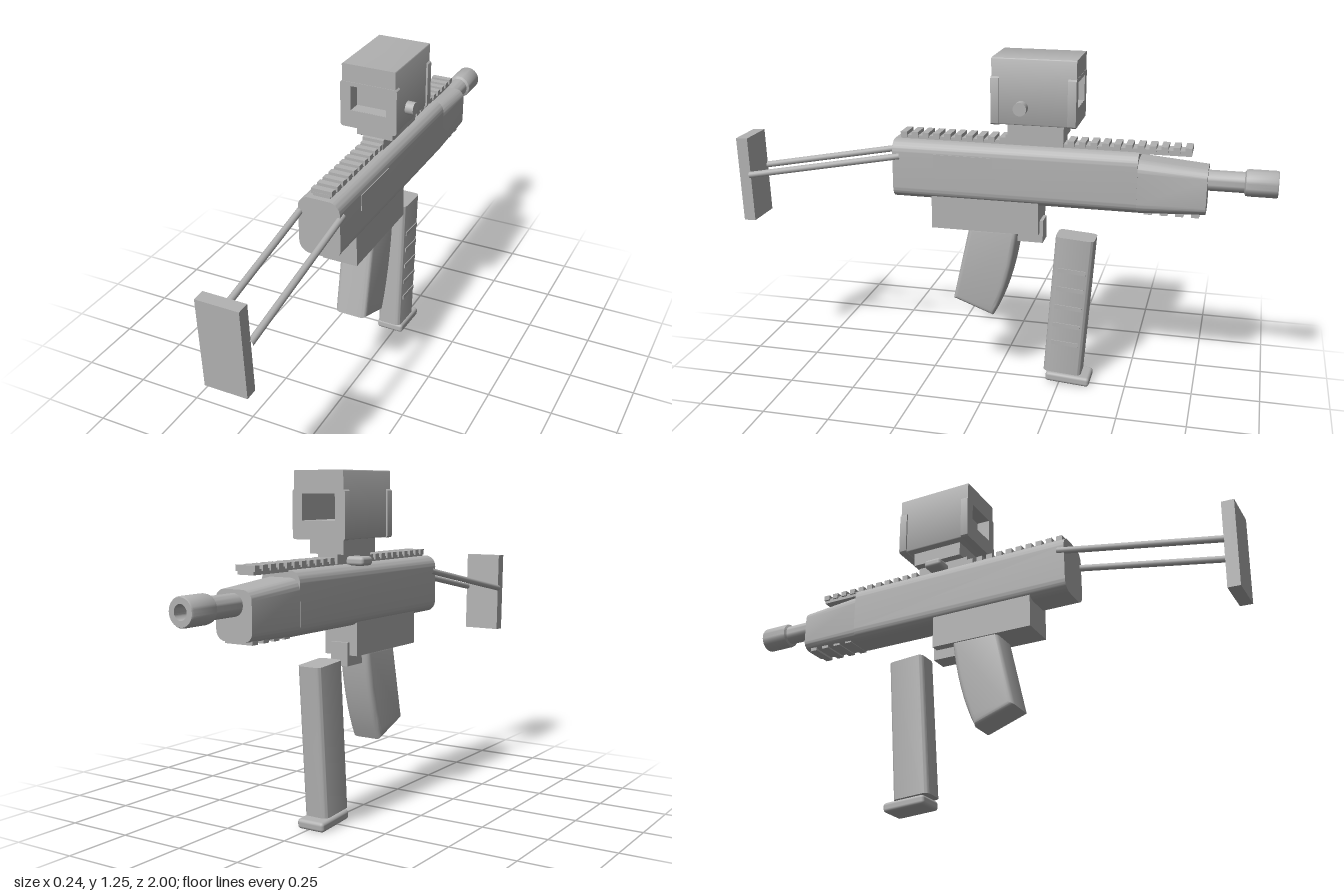
import * as THREE from 'three';
import { toCreasedNormals } from 'three/addons/utils/BufferGeometryUtils.js';
import { RoundedBoxGeometry } from 'three/addons/geometries/RoundedBoxGeometry.js';

const CX = -0.012; // centre plane of the prop

function roundRect(w, h, r) {
  const s = new THREE.Shape(), a = w / 2, b = h / 2;
  s.moveTo(-a + r, -b);
  s.lineTo(a - r, -b).absarc(a - r, -b + r, r, -Math.PI / 2, 0);
  s.lineTo(a, b - r).absarc(a - r, b - r, r, 0, Math.PI / 2);
  s.lineTo(-a + r, b).absarc(-a + r, b - r, r, Math.PI / 2, Math.PI);
  s.lineTo(-a, -b + r).absarc(-a + r, -b + r, r, Math.PI, Math.PI * 1.5);
  return s;
}

function rectHole(x0, x1, y0, y1) {
  return new THREE.Path().moveTo(x0, y0).lineTo(x0, y1).lineTo(x1, y1).lineTo(x1, y0).lineTo(x0, y0);
}

function extrude(shape, depth, bevel = 0) {
  const g = new THREE.ExtrudeGeometry(shape, {
    depth, curveSegments: 8, bevelEnabled: bevel > 0, bevelSize: bevel,
    bevelThickness: bevel, bevelOffset: -bevel, bevelSegments: 3,
  });
  return toCreasedNormals(g, 0.6);
}

export function createModel() {
  const model = new THREE.Group();
  model.name = 'compactCarbineProp';
  const gray = new THREE.MeshStandardMaterial({ color: 0xb2b2b2 });
  gray.name = 'plain gray';

  const add = (name, geo, x = 0, y = 0, z = 0, parent = model) => {
    const m = new THREE.Mesh(geo, gray);
    m.name = name;
    m.position.set(x, y, z);
    parent.add(m);
    return m;
  };
  // box given by its limits
  const box = (name, x0, x1, y0, y1, z0, z1, parent = model) =>
    add(name, new THREE.BoxGeometry(x1 - x0, y1 - y0, z1 - z0),
      (x0 + x1) / 2, (y0 + y1) / 2, (z0 + z1) / 2, parent);

  // receiver with rounded edges
  add('receiver', extrude(roundRect(0.158, 0.218, 0.042), 0.897), CX, 0.821, -0.52);
  box('ejectionPort', 0.06, 0.07, 0.825, 0.887, 0.0, 0.22);

  // tapered handguard
  const guard = extrude(roundRect(0.156, 0.194, 0.04), 0.24);
  const p = guard.attributes.position;
  for (let i = 0; i < p.count; i++) {
    const t = 1 - p.getZ(i) / 0.24; // 1 at the muzzle end
    p.setX(i, p.getX(i) * (1 - 0.08 * t));
    p.setY(i, p.getY(i) * (1 - 0.15 * t) - 0.006 * t);
  }
  add('handguard', toCreasedNormals(guard, 0.6), CX, 0.809, -0.76);
  for (let i = 0; i < 4; i++) {
    const z = -0.56 - i * 0.055;
    box('handguardRib', CX - 0.055, CX + 0.055, 0.711, 0.74, z - 0.014, z + 0.014);
  }

  // barrel and hollow muzzle
  const profile = [[0.037, 0.74], [0.037, 0.885], [0.046, 0.89], [0.048, 0.9], [0.048, 0.995],
    [0.045, 1], [0.025, 1], [0.025, 0.92], [0, 0.92]].map(([r, y]) => new THREE.Vector2(r, y));
  const barrel = new THREE.LatheGeometry(profile, 32);
  barrel.rotateX(-Math.PI / 2);
  add('barrel', toCreasedNormals(barrel, 0.6), CX, 0.837, 0);

  // toothed top rail
  const rail = new THREE.Group();
  rail.name = 'topRail';
  model.add(rail);
  box('railBase', CX - 0.032, CX + 0.032, 0.925, 0.943, -0.7, 0.356, rail);
  for (let i = 0; i < 26; i++) {
    const z = 0.343 - i * 0.0413;
    box('railTooth', CX - 0.039, CX + 0.039, 0.936, 0.956, z - 0.012, z + 0.012, rail);
  }

  // lower housing
  box('lowerHousing', CX - 0.068, CX + 0.068, 0.603, 0.73, -0.168, 0.233);
  box('frontCatch', CX - 0.035, CX + 0.035, 0.565, 0.65, -0.18, -0.085);

  // curved rear grip, drawn in z and y
  const curve = new THREE.Shape();
  curve.moveTo(0.158, 0.322).lineTo(0.094, 0.615).lineTo(-0.09, 0.615);
  curve.quadraticCurveTo(-0.068, 0.41, 0.003, 0.265);
  curve.lineTo(0.158, 0.322);
  const grip = extrude(curve, 0.091, 0.018);
  grip.translate(0, 0, -0.0455);
  grip.rotateY(-Math.PI / 2);
  add('curvedGrip', grip, CX, 0, 0);

  // separate straight magazine, leaning forward
  const mag = new THREE.Group();
  mag.name = 'straightMagazine';
  mag.position.set(CX, 0.05, -0.262);
  mag.rotation.x = -0.07;
  model.add(mag);
  const magBody = extrude(roundRect(0.097, 0.144, 0.02), 0.543);
  magBody.rotateX(-Math.PI / 2);
  add('magazineBody', magBody, 0, 0, 0, mag);
  add('magazineBase', new RoundedBoxGeometry(0.111, 0.036, 0.168, 3, 0.012), 0, -0.022, -0.024, mag);
  for (let i = 0; i < 5; i++) {
    const y = 0.125 + i * 0.073;
    box('magazineRidge', 0.04, 0.052, y - 0.008, y + 0.008, -0.053, 0.05, mag);
  }

  // wire stock and butt plate
  for (const s of [-1, 1]) {
    const a = new THREE.Vector3(CX + s * 0.075, 0.872, 0.35);
    const b = new THREE.Vector3(CX + s * 0.075, 0.758, 0.955);
    add('stockRod', new THREE.TubeGeometry(new THREE.LineCurve3(a, b), 1, 0.012, 12));
  }
  const butt = add('buttPlate', new THREE.BoxGeometry(0.152, 0.325, 0.045), CX, 0.738, 0.9725);
  butt.rotation.x = 0.03;

  // box sight with a window through both ends
  const sight = new THREE.Group();
  sight.name = 'sight';
  model.add(sight);
  const hood = roundRect(0.204, 0.235, 0.004);
  hood.holes.push(rectHole(-0.068, 0.068, -0.054, 0.038));
  add('sightHousing', extrude(hood, 0.3), CX, 1.1375, -0.303, sight);
  for (const z of [-0.304, -0.031]) {
    const rim = roundRect(0.218, 0.172, 0.01);
    rim.holes.push(rectHole(-0.068, 0.068, -0.021, 0.071));
    add('sightRim', extrude(rim, 0.03), CX, 1.104, z, sight);
  }
  box('sightLens', CX - 0.07, CX + 0.07, 1.08, 1.178, -0.06, -0.052, sight);
  const knob = new THREE.CylinderGeometry(0.024, 0.024, 0.05, 24);
  knob.rotateZ(Math.PI / 2);
  add('sightKnob', knob, 0.096, 1.083, -0.11, sight);

  // sight mount, clamp and lever
  box('sightMount', CX - 0.071, CX + 0.071, 0.967, 1.025, -0.256, -0.055, sight);
  box('sightClamp', CX - 0.041, CX + 0.041, 0.932, 0.968, -0.25, -0.04, sight);
  add('clampLever', new RoundedBoxGeometry(0.08, 0.032, 0.07, 3, 0.012), -0.079, 0.941, -0.157, sight);

  return model;
}
